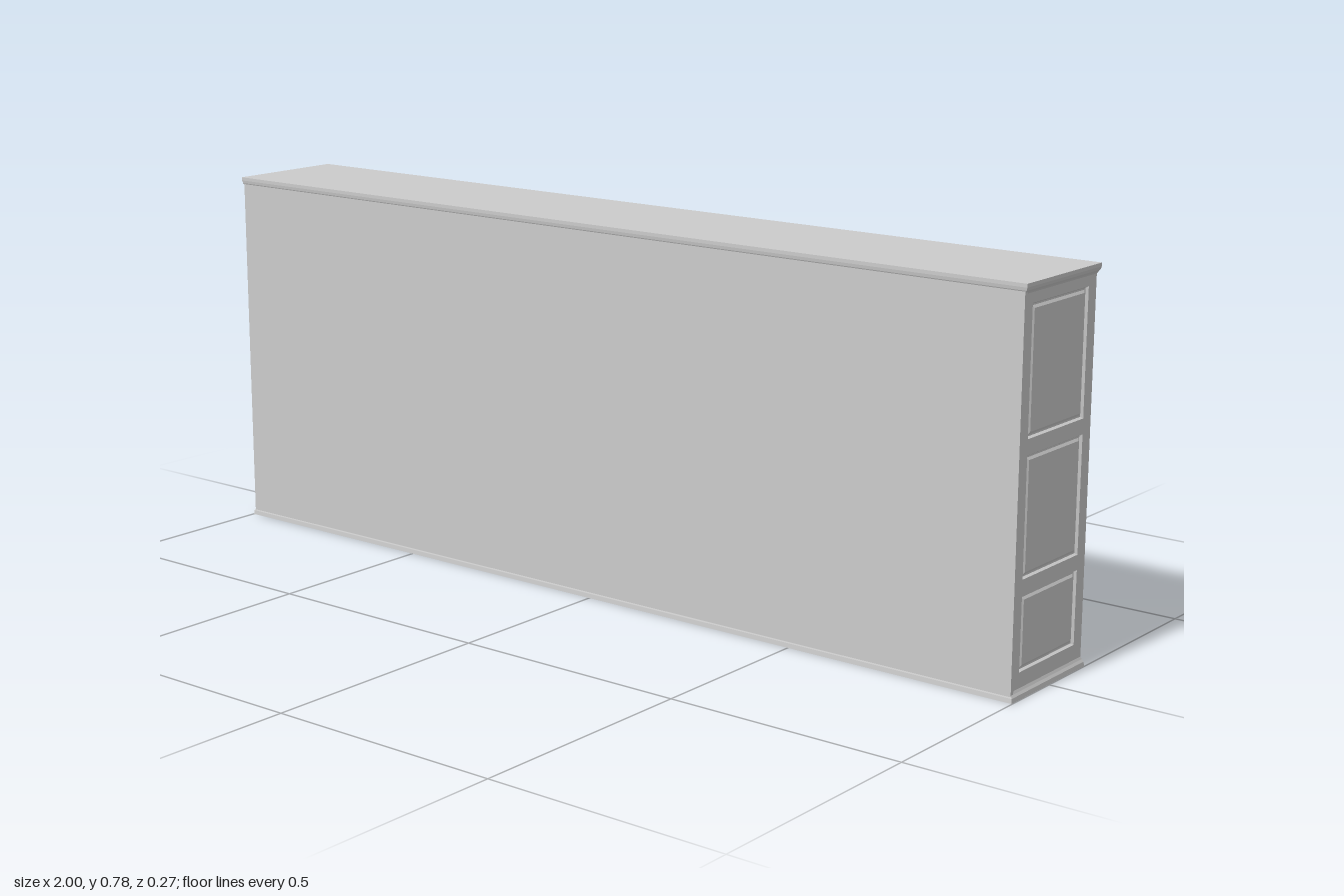
import * as THREE from 'three';

const material = new THREE.MeshStandardMaterial({ color: 0xcccccc });

function add(parent, name, geometry) {
  const mesh = new THREE.Mesh(geometry, material);
  mesh.name = name;
  parent.add(mesh);
  return mesh;
}

// Box given by its limits on each axis
function block(parent, name, [x0, x1], [y0, y1], [z0, z1]) {
  const mesh = add(parent, name, new THREE.BoxGeometry(x1 - x0, y1 - y0, z1 - z0));
  mesh.position.set((x0 + x1) / 2, (y0 + y1) / 2, (z0 + z1) / 2);
  return mesh;
}

// Joins rectangular rings [halfWidth, halfHeight, z]; caps the last and, if closed, the first
function loft(rings, closed) {
  const loops = rings.map(([w, h, z]) => [[-w, -h, z], [w, -h, z], [w, h, z], [-w, h, z]]);
  const points = [];
  const quad = (a, b, c, d) => points.push(...a, ...b, ...c, ...a, ...c, ...d);
  for (let i = 0; i + 1 < loops.length; i++) {
    for (let j = 0; j < 4; j++) {
      const k = (j + 1) % 4;
      quad(loops[i][j], loops[i][k], loops[i + 1][k], loops[i + 1][j]);
    }
  }
  quad(...loops[loops.length - 1]);
  if (closed) quad(...[...loops[0]].reverse());
  const geometry = new THREE.BufferGeometry();
  geometry.setAttribute('position', new THREE.Float32BufferAttribute(points, 3));
  geometry.computeVertexNormals();
  return geometry;
}

function rectangle(Type, x0, x1, y0, y1) {
  const path = new Type();
  path.moveTo(x0, y0);
  path.lineTo(x1, y0);
  path.lineTo(x1, y1);
  path.lineTo(x0, y1);
  path.closePath();
  return path;
}

// Frame with moulded panels set into its openings, front surface at local z = 0
function paneledFace(name, halfWidth, height, thickness, openings, profile) {
  const face = new THREE.Group();
  face.name = name;
  const shape = rectangle(THREE.Shape, -halfWidth, halfWidth, 0, height);
  shape.holes = openings.map((o) => rectangle(THREE.Path, ...o));
  const frame = new THREE.ExtrudeGeometry(shape, { depth: thickness, bevelEnabled: false });
  add(face, 'frame', frame.translate(0, 0, -thickness));
  for (const [x0, x1, y0, y1] of openings) {
    const w = (x1 - x0) / 2, h = (y1 - y0) / 2;
    const panel = add(face, 'panel', loft(profile.map(([inset, z]) => [w - inset, h - inset, z])));
    panel.position.set((x0 + x1) / 2, (y0 + y1) / 2, 0);
  }
  return face;
}

export function createModel() {
  const model = new THREE.Group();
  model.name = 'shelvingCounter';

  // Plain front and the core behind the shelves
  block(model, 'frontPanel', [-0.995, 0.995], [0, 0.765], [0.122, 0.131]);
  block(model, 'shelfBacking', [-0.98, 0.98], [0, 0.76], [-0.02, 0.122]);

  // Side walls with three panels each
  const sideOpenings = [[0.05, 0.197], [0.227, 0.459], [0.489, 0.737]]
    .map(([y0, y1]) => [-0.1, 0.1, y0, y1]);
  const sideProfile = [[0, 0], [0.003, -0.005], [0.006, -0.005], [0.011, -0.002]];
  for (const s of [-1, 1]) {
    block(model, 'sideWall', s > 0 ? [0.975, 0.985] : [-0.985, -0.975], [0, 0.76], [-0.128, 0.128]);
    const side = paneledFace('sidePanelling', 0.128, 0.76, 0.008, sideOpenings, sideProfile);
    side.position.x = s * 0.993;
    side.rotation.y = s * Math.PI / 2;
    model.add(side);
  }

  // Base cabinet with two long recessed panels
  block(model, 'baseCabinet', [-0.98, 0.98], [0, 0.19], [-0.113, -0.02]);
  const base = paneledFace('basePanelling', 0.985, 0.195, 0.015,
    [[-0.955, -0.04, 0.042, 0.172], [0.04, 0.955, 0.042, 0.172]],
    [[0, 0], [0.005, -0.004], [0.012, -0.012], [0.016, -0.012]]);
  base.position.z = -0.128;
  base.rotation.y = Math.PI;
  model.add(base);
  block(model, 'baseTop', [-0.985, 0.985], [0.188, 0.2], [-0.129, -0.02]);

  // Open shelves and the rail above them
  for (let i = 1; i <= 3; i++) {
    const y = 0.2 + i * 0.139;
    block(model, 'shelf', [-0.978, 0.978], [y - 0.009, y], [-0.125, -0.02]);
  }
  block(model, 'topRail', [-0.98, 0.98], [0.742, 0.76], [-0.128, -0.112]);

  // Flared plinth and cornice
  const mouldings = {
    plinth: [[0.999, 0.133, 0], [0.998, 0.132, 0.009], [0.995, 0.13, 0.014], [0.992, 0.127, 0.022]],
    cornice: [[0.992, 0.127, 0.755], [0.995, 0.13, 0.76], [0.998, 0.132, 0.764],
      [1, 0.133, 0.77], [1, 0.133, 0.777]],
  };
  for (const [name, rings] of Object.entries(mouldings)) {
    add(model, name, loft(rings, true)).rotation.x = -Math.PI / 2;
  }
  return model;
}
